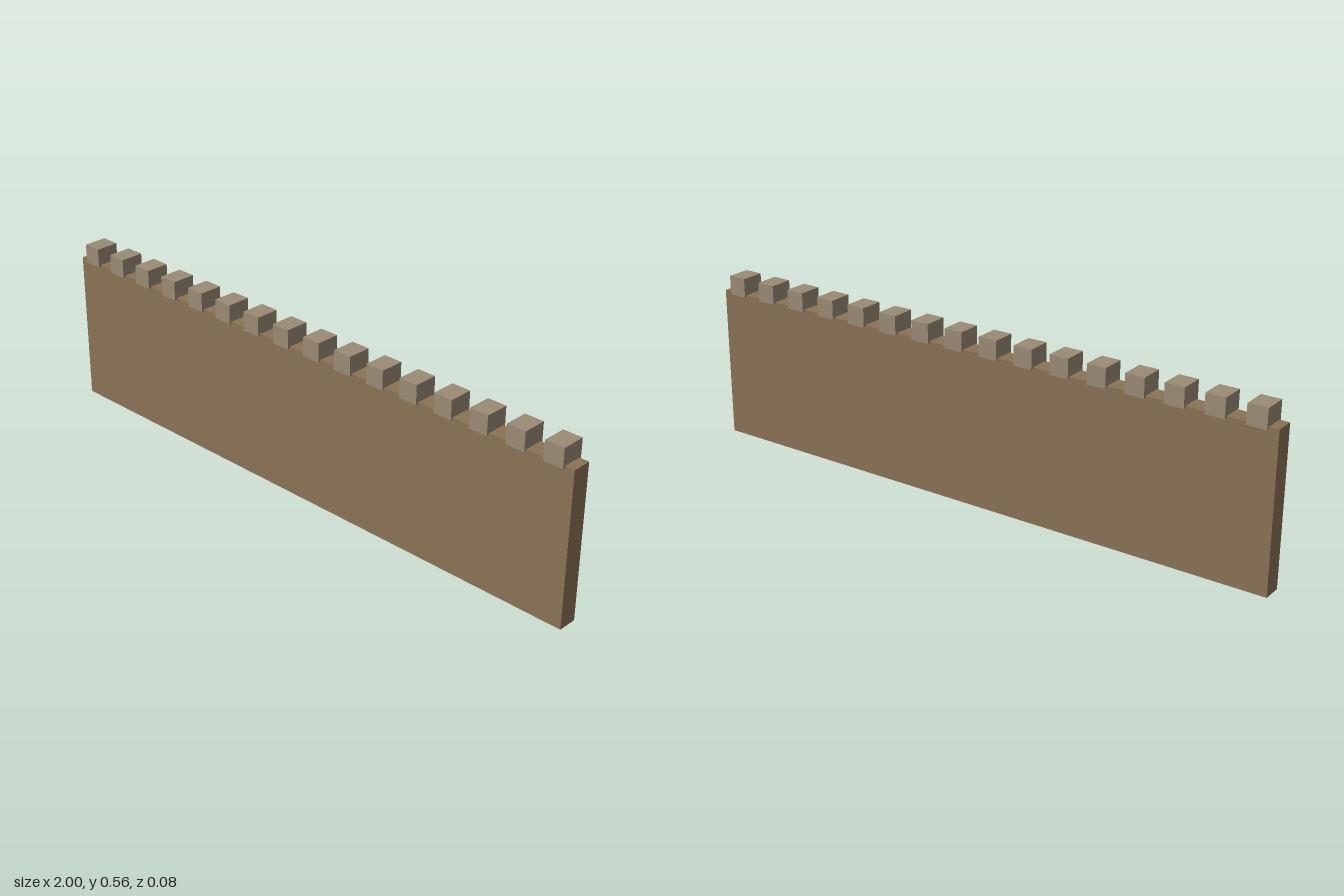
import * as THREE from 'three';

export function createModel() {
  const model = new THREE.Group();
  model.name = 'battlementWall';

  const wallMaterial = new THREE.MeshStandardMaterial({ color: 0x8b7355 });
  const merlonMaterial = new THREE.MeshStandardMaterial({ color: 0x9b8b75 });

  // Long thin wall slab
  const wall = new THREE.Mesh(new THREE.BoxGeometry(2, 0.5, 0.0625), wallMaterial);
  wall.name = 'wall';
  wall.position.y = 0.25;
  model.add(wall);

  // Evenly spaced merlons, slightly sunk into the top and overhanging both faces
  const count = 16;
  const spacing = 2 / count;
  const merlonGeometry = new THREE.BoxGeometry(0.0625, 0.0625, 0.078);
  const merlons = new THREE.Group();
  merlons.name = 'merlons';
  for (let i = 0; i < count; i++) {
    const merlon = new THREE.Mesh(merlonGeometry, merlonMaterial);
    merlon.name = 'merlon';
    merlon.position.set(-1 + (i + 0.5) * spacing, 0.525, 0);
    merlons.add(merlon);
  }
  model.add(merlons);

  return model;
}
